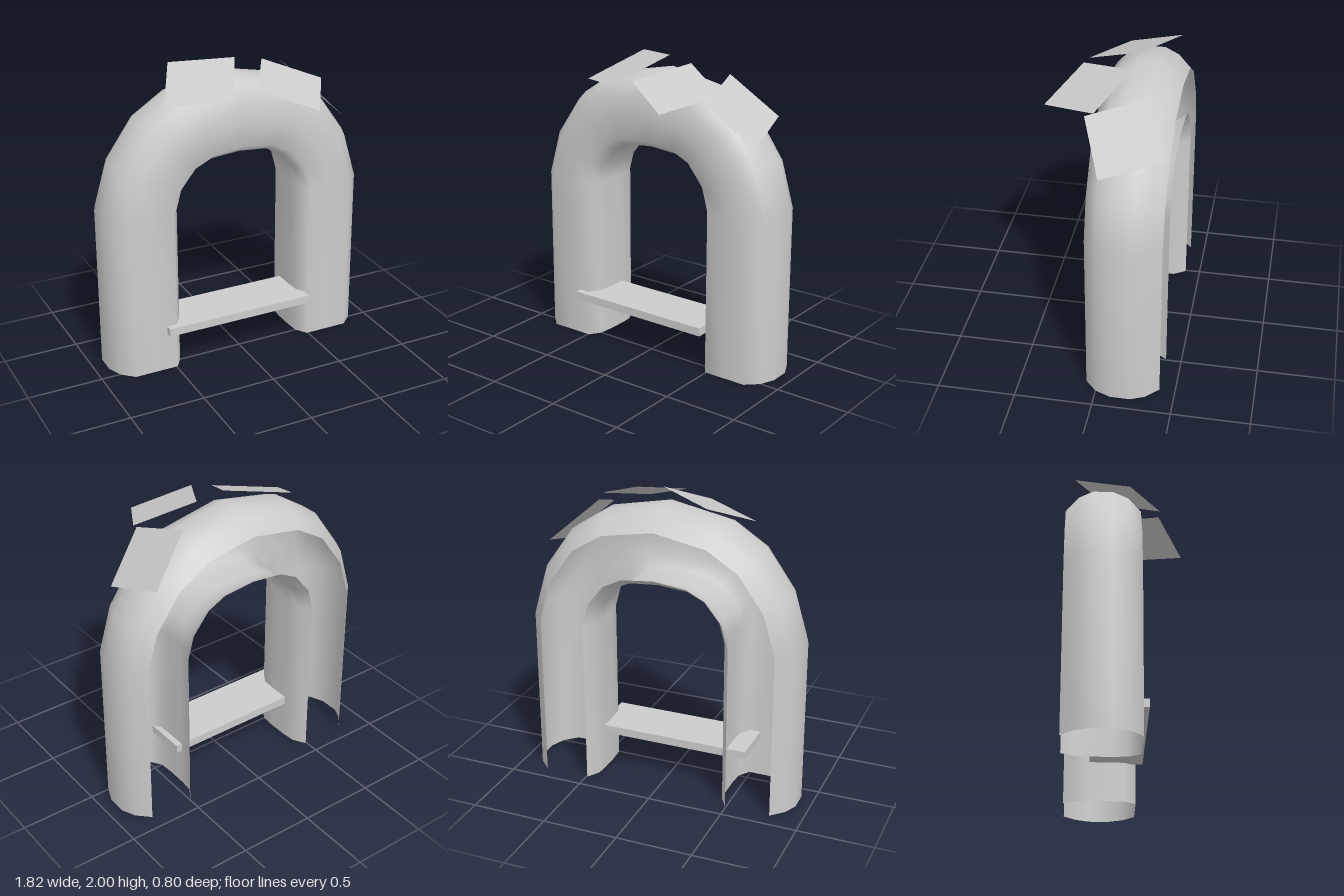
import * as THREE from 'three';

const grey = new THREE.MeshStandardMaterial({ color: 0xcccccc, side: THREE.DoubleSide });

// Arch rings from foot to crown: inner x, y and outer x, y
const half = [
  [0.435, 0, 0.912, 0],
  [0.435, 1.1, 0.912, 1.1],
  [0.4, 1.23, 0.82, 1.41],
  [0.3, 1.35, 0.63, 1.68],
  [0.19, 1.4, 0.4, 1.83],
];
const mirrored = half.map(([a, b, c, d]) => [-a, b, -c, d]).reverse();
const rings = [...half, [0, 1.415, 0, 1.91], ...mirrored];

// Open-backed cross-section: position from inner (0) to outer (1) side, and z
const section = [
  [0.12, -0.4], [0.015, -0.32], [0, -0.23], [0, -0.1], [0.015, 0], [0.12, 0.075],
  [0.43, 0.075],
  [0.747, 0.075], [0.916, 0], [1, -0.1], [1, -0.23], [0.916, -0.32], [0.747, -0.4],
];

function archGeometry() {
  const positions = [], index = [], n = section.length;
  for (const [ix, iy, ox, oy] of rings) {
    for (const [t, z] of section) {
      positions.push(ix + (ox - ix) * t, iy + (oy - iy) * t, z);
    }
  }
  for (let r = 0; r < rings.length - 1; r++) {
    for (let s = 0; s < n - 1; s++) {
      const a = r * n + s, b = a + 1, c = a + n, d = c + 1;
      index.push(a, b, c, b, d, c);
    }
  }
  const g = new THREE.BufferGeometry();
  g.setAttribute('position', new THREE.Float32BufferAttribute(positions, 3));
  g.setIndex(index);
  g.computeVertexNormals();
  return g;
}

// Flat parallelogram from three neighbouring corners, facing up
function tileGeometry(a, b, c) {
  const d = a.map((v, i) => v + c[i] - b[i]);
  const g = new THREE.BufferGeometry();
  g.setAttribute('position', new THREE.Float32BufferAttribute([...a, ...b, ...c, ...d], 3));
  g.setIndex([0, 2, 1, 0, 3, 2]);
  g.computeVertexNormals();
  return g;
}

export function createModel() {
  const model = new THREE.Group();
  const add = (name, geometry) => {
    const mesh = new THREE.Mesh(geometry, grey);
    mesh.name = name;
    model.add(mesh);
    return mesh;
  };

  // Hollow arch, open at the back and under the feet
  add('arch', archGeometry());

  // Shelf board between the legs
  add('shelf', new THREE.BoxGeometry(1.035, 0.055, 0.35)).position.set(-0.0425, 0.2925, -0.055);

  // Loose thin tiles lying on the crown
  const tiles = {
    rightTile: [[-0.33, 1.96, -0.35], [0.04, 2, -0.14], [-0.145, 1.84, 0.22]],
    middleTile: [[0.22, 1.972, -0.12], [0.56, 1.845, 0.055], [0.357, 1.762, 0.395]],
    leftTile: [[0.42, 1.905, -0.26], [0.703, 1.65, -0.393], [0.777, 1.53, -0.01]],
  };
  for (const [name, corners] of Object.entries(tiles)) {
    const g = tileGeometry(...corners);
    // Wind each tile so that its face points upwards
    if (g.attributes.normal.getY(0) < 0) {
      g.setIndex([0, 1, 2, 0, 2, 3]);
      g.computeVertexNormals();
    }
    add(name, g);
  }
  return model;
}
